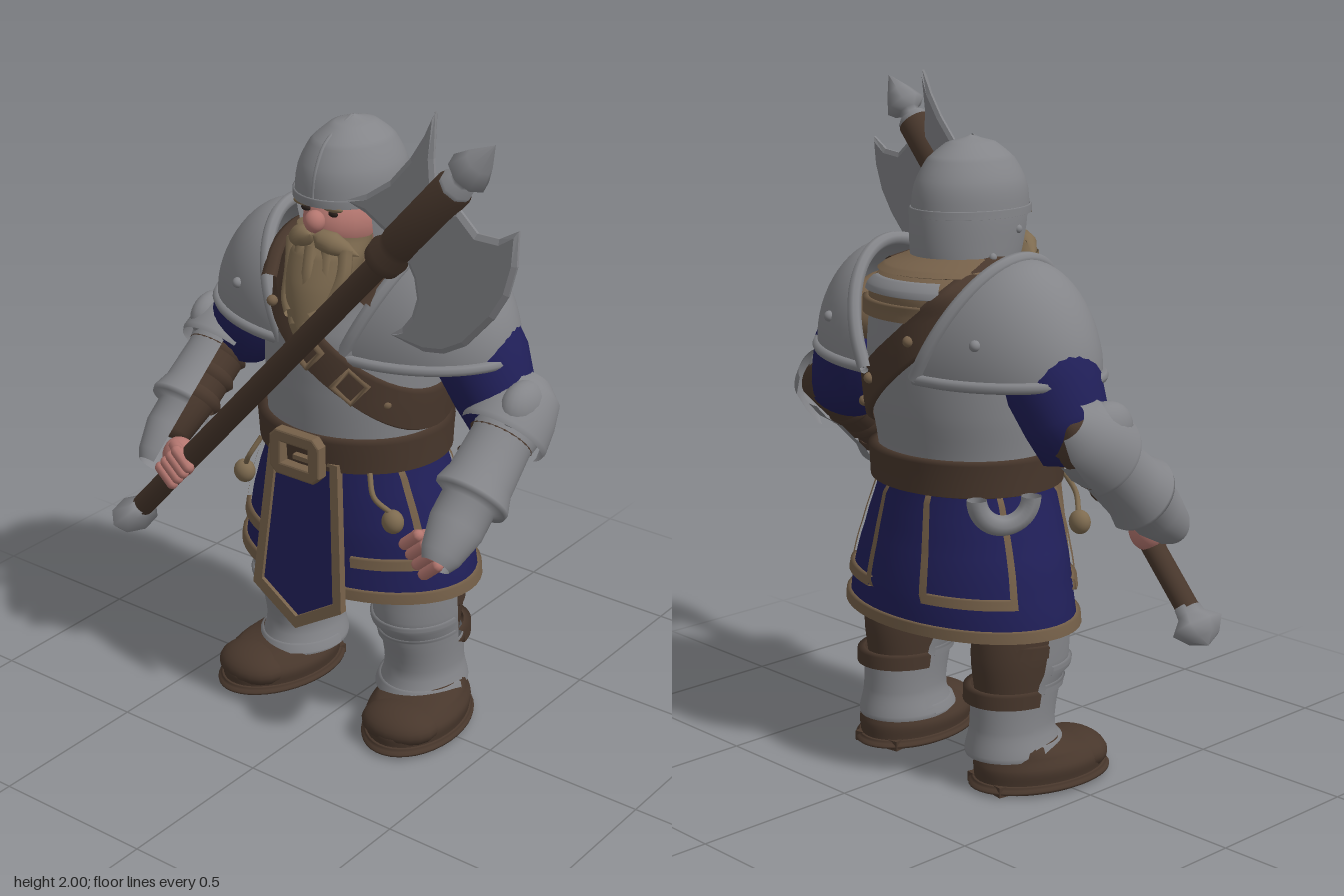
import * as THREE from 'three';
import { ParametricGeometry } from 'three/addons/geometries/ParametricGeometry.js';

const paint = (name, color) => {
  const m = new THREE.MeshStandardMaterial({ color, side: THREE.DoubleSide });
  m.name = name;
  return m;
};
const V = (p) => new THREE.Vector3(...p);

export function createModel() {
  const steel = paint('steel', 0x848589), blue = paint('blue cloth', 0x201f58);
  const leather = paint('brown leather', 0x48372c), trim = paint('tan trim', 0x756049);
  const hair = paint('beard tan', 0x7e6b50), skin = paint('skin', 0xb3766f);
  const dark = paint('dark', 0x2a211d);

  const model = new THREE.Group();
  const body = new THREE.Group();
  body.name = 'warrior';
  body.position.x = -0.03;
  model.add(body);
  let parent = body;

  const add = (name, mat, geo, pos = [0, 0, 0]) => {
    const m = new THREE.Mesh(geo, mat);
    m.name = name;
    m.position.set(...pos);
    parent.add(m);
    return m;
  };
  const ball = (name, mat, pos, r) => add(name, mat, new THREE.SphereGeometry(1, 20, 14).scale(...r), pos);
  const tube = (name, mat, pts, r) =>
    add(name, mat, new THREE.TubeGeometry(new THREE.CatmullRomCurve3(pts.map(V)), pts.length * 4, r, 8));

  // Cross-sections are [y, centre z, radius x, radius z], smoothed between rows
  const smooth = (a, b, c, d, f) =>
    b + 0.5 * f * (c - a + f * (2 * a - 5 * b + 4 * c - d + f * (3 * (b - c) + d - a)));
  const sample = (sec, t) => {
    const n = sec.length - 1, i = Math.min(n - 1, Math.floor(t)), f = t - i;
    const q = [i - 1, i, i + 1, i + 2].map((k) => sec[Math.max(0, Math.min(n, k))]);
    return [0, 1, 2, 3].map((k) => (k ? smooth(q[0][k], q[1][k], q[2][k], q[3][k], f)
      : q[1][0] + (q[2][0] - q[1][0]) * f));
  };
  const loft = (name, mat, sec) => add(name, mat, new ParametricGeometry((u, v, p) => {
    const [y, cz, rx, rz] = sample(sec, v * (sec.length - 1));
    const a = u * Math.PI * 2;
    p.set(rx * Math.sin(a), y, cz + rz * Math.cos(a));
  }, 40, (sec.length - 1) * 4));
  // A raised band lying on a loft, from angle a0 to a1 (0 is the front)
  const band = (name, mat, sec, low, high, pad, a0 = -Math.PI, a1 = Math.PI) =>
    add(name, mat, new ParametricGeometry((u, v, p) => {
      const a = a0 + (a1 - a0) * u;
      const lo = typeof low === 'function' ? low(a) : low, hi = typeof high === 'function' ? high(a) : high;
      const y = Math.max(sec[0][0], Math.min(sec[sec.length - 1][0], lo + (hi - lo) * v));
      let i = 0;
      while (i < sec.length - 2 && y > sec[i + 1][0]) i++;
      const [, cz, rx, rz] = sample(sec, i + (y - sec[i][0]) / (sec[i + 1][0] - sec[i][0]));
      const e = pad * Math.min(1, 4 * Math.sin(Math.PI * v) + 0.1);
      p.set((rx + e) * Math.sin(a), y, cz + (rz + e) * Math.cos(a));
    }, 48, 12));
  // A turned profile of [radius, distance] running from a towards b; arcs are centred on 'out'
  const turned = (name, mat, a, b, prof, { out = [0, 0, 1], arc = Math.PI * 2, squash = 1, sides = 24 } = {}) => {
    const y = V(b).sub(V(a)).normalize();
    const x = new THREE.Vector3().crossVectors(y, V(out)).normalize();
    const z = new THREE.Vector3().crossVectors(x, y);
    const geo = new THREE.LatheGeometry(prof.map((q) => new THREE.Vector2(...q)), sides, -arc / 2, arc);
    geo.scale(squash, 1, 1).applyMatrix4(new THREE.Matrix4().makeBasis(x, y, z));
    return add(name, mat, geo, a);
  };
  const outline = (pts) => new THREE.Shape(pts.map((p) => new THREE.Vector2(...p)));
  const shift = (geo, rule) => {
    const p = geo.attributes.position;
    for (let i = 0; i < p.count; i++) p.setZ(i, p.getZ(i) + rule(p.getX(i), p.getY(i)));
    geo.computeVertexNormals();
    return geo;
  };

  // Torso, yoke and collar
  const torso = [[0.85, -0.04, 0.265, 0.235], [0.97, -0.04, 0.27, 0.245], [1.1, -0.05, 0.28, 0.26],
    [1.25, -0.06, 0.28, 0.265], [1.38, -0.08, 0.255, 0.245]];
  const yoke = [[1.38, -0.08, 0.255, 0.245], [1.45, -0.1, 0.235, 0.225], [1.5, -0.09, 0.185, 0.18], [1.535, -0.06, 0.12, 0.12]];
  const trunk = [...torso, ...yoke.slice(1)];
  loft('breastplate', steel, torso);
  loft('yoke', trim, yoke);
  band('yokeTrim', trim, trunk, 1.36, 1.41, 0.018, 1.7, 2 * Math.PI - 1.7);
  band('backPlate', steel, trunk, 1.43, 1.475, 0.012, 2.5, 2 * Math.PI - 2.5);
  band('collar', trim, trunk, 1.485, 1.53, 0.02);
  const strapY = (a) => 1.26 - 0.22 * Math.sin(a);
  band('shoulderStrap', leather, trunk, (a) => strapY(a) - 0.065, (a) => strapY(a) + 0.065, 0.022);
  for (const a of [0.1, 0.55]) {
    const b = add('strapBuckle', trim, new THREE.TorusGeometry(0.05, 0.011, 6, 4),
      [0.29 * Math.sin(a), strapY(a), -0.06 + 0.292 * Math.cos(a)]);
    b.rotation.set(0, a, 0.05);
  }
  for (const a of [-0.4, 0.9, 2.2, 2.8, 3.4]) ball('strapStud', trim,
    [0.29 * Math.sin(a), strapY(a), -0.06 + 0.285 * Math.cos(a)], [0.016, 0.016, 0.016]);

  // Skirt with hem and panel trims
  const skirt = [[0.47, -0.06, 0.39, 0.27], [0.58, -0.06, 0.37, 0.265], [0.7, -0.05, 0.335, 0.255], [0.9, -0.04, 0.265, 0.235]];
  loft('skirt', blue, skirt);
  loft('skirtLining', blue, [[0.55, -0.06, 0.001, 0.001], [0.5, -0.06, 0.375, 0.26]]);
  band('skirtHem', trim, skirt, 0.47, 0.505, 0.014);
  for (const s of [-1, 1]) {
    band('frontPanelTrim', trim, skirt, 0.575, 0.608, 0.016, s * 0.42, s * 1.13);
    band('frontPanelEdge', trim, skirt, 0.575, 0.87, 0.014, s * 1.05, s * 1.13);
    band('backPanelTrim', trim, skirt, 0.565, 0.595, 0.014, s * 2.0, s * 2.85);
    for (const a of [2.0, 2.8]) band('backPanelEdge', trim, skirt, 0.565, 0.87, 0.013, s * a, s * (a + 0.07));
    // Pouch on a cord
    tube('pouchCord', hair, [[s * 0.2, 0.88, 0.16], [s * 0.23, 0.82, 0.18], [s * 0.27, 0.77, 0.15]], 0.008);
    ball('pouch', hair, [s * 0.275, 0.745, 0.15], [0.034, 0.036, 0.03]);
  }

  // Pointed tabard with a border
  const tab = [[-0.125, 0.9], [-0.165, 0.45], [0, 0.35], [0.165, 0.45], [0.125, 0.9]];
  const inner = [[-0.098, 0.9], [-0.133, 0.47], [0, 0.388], [0.133, 0.47], [0.098, 0.9]];
  const lean = (x, y) => 0.235 - 0.08 * (y - 0.35);
  const border = outline(tab);
  border.holes.push(outline(inner.map(([x, y]) => [x, Math.min(y, 0.89)])));
  const slab = (sh, depth) => shift(new THREE.ExtrudeGeometry(sh, { depth, bevelEnabled: false }), lean);
  add('tabard', blue, slab(outline(inner), 0.012));
  add('tabardBorder', trim, slab(border, 0.024));

  // Belt, buckle and hip horn
  band('belt', leather, trunk, 0.865, 0.975, 0.03);
  const frame = outline([[-0.085, -0.045], [-0.065, -0.065], [0.065, -0.065], [0.085, -0.045],
    [0.085, 0.045], [0.065, 0.065], [-0.065, 0.065], [-0.085, 0.045]]);
  frame.holes.push(outline([[-0.055, -0.038], [0.055, -0.038], [0.055, 0.038], [-0.055, 0.038]]));
  add('beltBuckle', trim, new THREE.ExtrudeGeometry(frame, { depth: 0.025, bevelSize: 0.006, bevelThickness: 0.006, bevelSegments: 2 }), [0, 0.91, 0.225]);
  add('bucklePin', trim, new THREE.BoxGeometry(0.07, 0.014, 0.02), [0.03, 0.91, 0.245]);
  const horn = add('hipHorn', steel, new THREE.TorusGeometry(0.08, 0.03, 8, 20, Math.PI), [-0.285, 0.88, -0.17]);
  horn.rotation.set(0, 1.1, Math.PI);

  // Head: face, beard and moustache
  ball('face', skin, [0, 1.57, 0], [0.115, 0.11, 0.145]);
  ball('nose', skin, [0, 1.59, 0.15], [0.03, 0.032, 0.03]);
  loft('beard', hair, [[1.24, 0.215, 0.015, 0.012], [1.3, 0.185, 0.06, 0.045], [1.4, 0.14, 0.095, 0.08],
    [1.49, 0.09, 0.118, 0.095], [1.55, 0.06, 0.122, 0.075]]);
  for (let i = -2; i <= 2; i++) {
    const k = 2 - Math.abs(i);
    tube('beardLock', hair, [[i * 0.046, 1.52, 0.128 + k * 0.016], [i * 0.044 + 0.008, 1.44, 0.152 + k * 0.018],
      [i * 0.032 - 0.006, 1.36, 0.182 + k * 0.006], [i * 0.018, 1.27 + Math.abs(i) * 0.03, 0.212]], 0.022);
  }
  for (const s of [-1, 1]) {
    turned('moustache', hair, [s * 0.005, 1.555, 0.165], [s * 0.12, 1.505, 0.11],
      [[0.001, 0], [0.028, 0.02], [0.034, 0.06], [0.022, 0.1], [0.001, 0.14]]);
    ball('eye', dark, [s * 0.048, 1.615, 0.128], [0.016, 0.009, 0.008]);
    ball('eyebrow', hair, [s * 0.05, 1.634, 0.134], [0.036, 0.011, 0.014]);
  }

  // Helmet
  const helm = [[1.45, -0.05, 0.14, 0.15], [1.55, -0.035, 0.147, 0.175], [1.64, -0.025, 0.15, 0.185], [1.72, -0.025, 0.143, 0.175],
    [1.79, -0.025, 0.11, 0.138], [1.835, -0.025, 0.06, 0.08], [1.857, -0.025, 0.001, 0.001]];
  loft('helmetDome', steel, helm.slice(2));
  band('helmetNeckGuard', steel, helm, 1.46, 1.65, 0.004, 1.05, 2 * Math.PI - 1.05);
  band('helmetRim', steel, helm, 1.635, 1.66, 0.006);
  tube('helmetCrest', steel, [[0, 1.64, 0.158], [0, 1.73, 0.143], [0, 1.8, 0.1], [0, 1.853, -0.02]], 0.006);

  for (const s of [-1, 1]) {
    for (const [z, y] of [[0.02, 1.6], [-0.08, 1.53]]) ball('helmetRivet', steel, [s * 0.147, y, z], [0.01, 0.012, 0.012]);

    // Pauldron shell with rolled rims
    const P = (th, ph) => {
      const nx = Math.sin(th) * Math.sin(ph), ny = Math.cos(th), nz = Math.sin(th) * Math.cos(ph);
      return [s * (0.24 + 0.27 * nx + 0.16 * (ny - 0.85) * (1 - nx)), 1.23 + 0.31 * ny - 0.015 * nz * nz, -0.085 + 0.255 * nz];
    };
    const H = Math.PI / 2, steps = [...Array(13).keys()];
    add('pauldron', steel, new ParametricGeometry((u, v, p) => p.set(...P(0.02 + (H - 0.02) * v, u * Math.PI)), 28, 16));
    tube('pauldronInnerRim', steel, steps.map((i) => P(Math.abs(i - 6) / 6 * H, i < 6 ? 0 : Math.PI)), 0.02);
    tube('pauldronLowerRim', steel, steps.map((i) => P(H, i / 12 * Math.PI)), 0.016);
    for (const ph of [0.45, 2.7]) ball('pauldronRivet', steel, P(1.2, ph), [0.016, 0.016, 0.016]);
    tube('shoulderTie', leather, [[s * 0.17, 1.38, 0.14], [s * 0.19, 1.45, 0.07], [s * 0.2, 1.485, -0.03], [s * 0.2, 1.475, -0.15]], 0.028);
    ball('shoulderPad', trim, [s * 0.24, 1.35, -0.1], [0.08, 0.11, 0.19]);

    // Arm, forearm and plate
    const E = [s * 0.52, 1.1, -0.13], W = [s * 0.52, 0.76, 0.27], out = [s, 0.3, 0.1];
    turned('sleeve', blue, [s * 0.36, 1.29, -0.1], [s * 0.49, 1.03, -0.09],
      [[0.001, -0.02], [0.125, 0], [0.135, 0.1], [0.12, 0.2], [0.1, 0.29], [0.001, 0.33]]);
    turned('forearm', leather, E, W, [[0.001, -0.06], [0.085, -0.01], [0.09, 0.1], [0.082, 0.28], [0.06, 0.43], [0.001, 0.45]]);
    for (const t of [0.12, 0.2, 0.28]) turned('forearmWrap', leather, E, W, [[0.084, t], [0.096, t + 0.02], [0.084, t + 0.04]]);
    turned('vambrace', steel, E, W, [[0.1, 0.02], [0.106, 0.08], [0.093, 0.15], [0.1, 0.28], [0.116, 0.33], [0.112, 0.345],
      [0.084, 0.355], [0.084, 0.43], [0.062, 0.52], [0.045, 0.55]], { out, arc: 3.9 });
    turned('elbowGuard', steel, E, W, [[0.06, -0.06], [0.105, -0.02], [0.122, 0.05], [0.13, 0.12], [0.125, 0.135]], { out: [s, 0.75, 0.5], arc: 3.6 });
    ball('elbowCop', steel, [s * 0.565, 1.11, -0.06], [0.055, 0.075, 0.09]);

    // Fist
    ball('palm', skin, [s * 0.475, 0.755, 0.215], [0.055, 0.065, 0.05]);
    for (let i = 0; i < 4; i++) {
      const k = (i - 1.5) * 0.033;
      const f = add('finger', skin, new THREE.CapsuleGeometry(0.018, 0.06, 4, 8), [s * (0.455 - 0.675 * k), 0.745 + 0.738 * k, 0.262]);
      f.rotation.z = -s * 0.83;
    }
    turned('thumb', skin, [s * 0.48, 0.8, 0.23], [s * 0.41, 0.79, 0.27], [[0.001, -0.02], [0.02, 0], [0.018, 0.06], [0.001, 0.08]]);

    // Leg with greave
    parent = new THREE.Group();
    parent.name = 'leg';
    parent.position.x = s * 0.23;
    body.add(parent);
    loft('trouserLeg', leather, [[0.08, -0.08, 0.08, 0.1], [0.25, -0.085, 0.09, 0.11], [0.4, -0.08, 0.108, 0.13], [0.58, -0.06, 0.11, 0.13]]);
    const greave = [[0.1, -0.075, 0.127, 0.15], [0.18, -0.08, 0.108, 0.13], [0.31, -0.065, 0.112, 0.14],
      [0.36, -0.045, 0.122, 0.145], [0.48, -0.035, 0.126, 0.13]];
    band('greave', steel, greave, 0.1, 0.48, 0.005, -1.75, 1.75);
    band('calfGuard', steel, greave, 0.1, 0.27, 0.004);
    for (const y of [0.11, 0.29, 0.345]) band('greaveRidge', steel, greave, y, y + 0.028, 0.014, -1.6, 1.6);
    band('legStrap', leather, greave, 0.26, 0.305, 0.025, 1.75, 2 * Math.PI - 1.75);
    band('kneeStrap', leather, greave, 0.4, 0.44, 0.012, 1.75, 2 * Math.PI - 1.75);
    ball('kneeCop', steel, [0, 0.4, 0.07], [0.06, 0.055, 0.035]);

    // Boot
    parent = new THREE.Group();
    parent.name = 'boot';
    parent.position.x = s * 0.265;
    parent.rotation.y = s * 0.16;
    body.add(parent);
    loft('sole', leather, [[0.004, 0, 0.001, 0.001], [0.005, 0, 0.14, 0.215], [0.03, 0, 0.145, 0.22], [0.035, 0, 0.13, 0.2]]);
    loft('bootUpper', leather, [[0.028, 0, 0.138, 0.212], [0.07, -0.002, 0.143, 0.212], [0.105, -0.02, 0.125, 0.185],
      [0.13, -0.07, 0.105, 0.135], [0.16, -0.09, 0.085, 0.1]]);
    ball('toeCap', leather, [0, 0.065, 0.115], [0.122, 0.06, 0.1]);
    add('heel', leather, new THREE.BoxGeometry(0.16, 0.03, 0.1), [0, 0.018, -0.15]);
    add('heelPlate', steel, new THREE.BoxGeometry(0.1, 0.006, 0.08), [0, 0.003, -0.15]);
    parent = body;
  }

  // Axe
  parent = new THREE.Group();
  parent.name = 'axe';
  model.add(parent);
  const A = [-0.74, 0.46, 0.22], B = [0.63, 1.955, 0.27];
  turned('pommel', steel, A, B, [[0.001, 0], [0.06, 0.025], [0.095, 0.065], [0.05, 0.1], [0.045, 0.13], [0.001, 0.131]], { squash: 0.62, sides: 8 });
  turned('shaft', leather, A, B, [[0.034, 0.12], [0.034, 1.56]]);
  turned('axeSleeve', leather, A, B, [[0.034, 1.5], [0.056, 1.515], [0.06, 1.55], [0.048, 1.575], [0.053, 1.6], [0.053, 1.86], [0.001, 1.865]]);
  turned('spike', steel, A, B, [[0.046, 1.855], [0.05, 1.875], [0.03, 1.89], [0.032, 1.905], [0.062, 1.925], [0.04, 1.975], [0.001, 2.045]], { sides: 8 });
  const tilt = (x, y) => 0.245 + 0.22 * ((x - 0.42) * 0.737 - (y - 1.72) * 0.675);
  const blade = (name, pts) => add(name, steel, shift(new THREE.ExtrudeGeometry(outline(pts),
    { depth: 0.008, bevelSize: 0.014, bevelOffset: -0.014, bevelThickness: 0.008, bevelSegments: 1 }), tilt).toNonIndexed());
  blade('axeBlade', [[0.37, 1.595], [0.4, 1.56], [0.417, 1.51], [0.405, 1.46], [0.375, 1.42], [0.335, 1.39], [0.46, 1.38], [0.53, 1.395],
    [0.6, 1.435], [0.685, 1.53], [0.725, 1.6], [0.742, 1.68], [0.735, 1.77], [0.675, 1.735], [0.6, 1.73], [0.53, 1.775], [0.45, 1.74]]);
  blade('axeHook', [[0.34, 1.63], [0.29, 1.65], [0.2, 1.685], [0.125, 1.7], [0.2, 1.735], [0.28, 1.79], [0.345, 1.865],
    [0.385, 1.93], [0.415, 2.0], [0.425, 1.88], [0.445, 1.79], [0.47, 1.77]]);
  return model;
}
